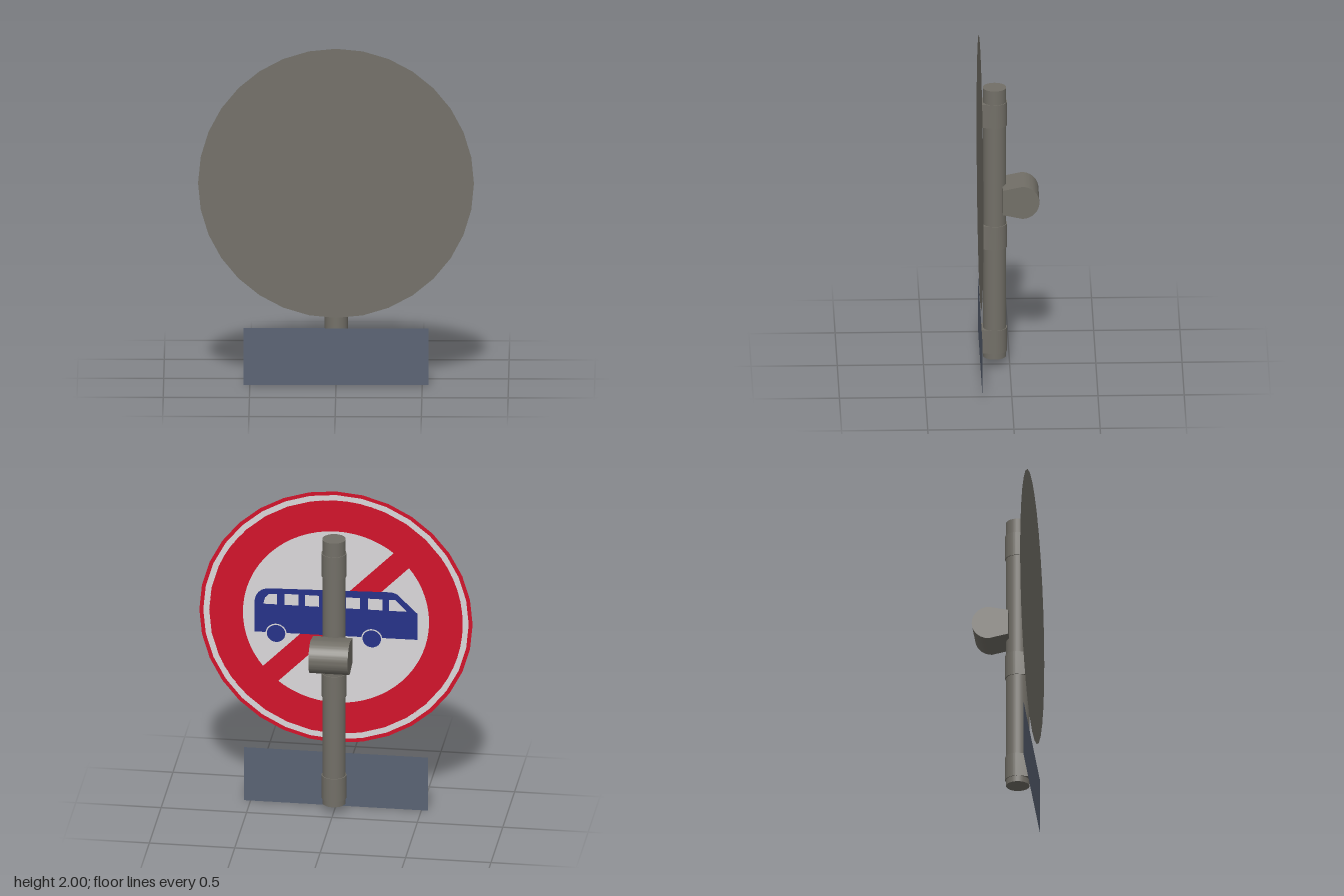
import * as THREE from 'three';
import { toCreasedNormals } from 'three/addons/utils/BufferGeometryUtils.js';

const material = (name, color, side = THREE.FrontSide) => {
  const m = new THREE.MeshStandardMaterial({ color, side });
  m.name = name;
  return m;
};

export function createModel() {
  const grey = material('metal grey', 0x726f67);
  const slate = material('slate blue', 0x596273, THREE.DoubleSide);
  const red = material('sign red', 0xd2122a);
  const white = material('sign white', 0xdad8da);
  const navy = material('bus navy', 0x263288);

  const model = new THREE.Group();
  model.name = 'roadSign';

  const add = (parent, name, geometry, mat, x = 0, y = 0, z = 0) => {
    const mesh = new THREE.Mesh(geometry, mat);
    mesh.name = name;
    mesh.position.set(x, y, z);
    parent.add(mesh);
    return mesh;
  };

  // Round-backed block tapering to a flat front, standing along y
  const bracket = (radius, frontHalf, front, length) => {
    const s = new THREE.Shape();
    s.moveTo(radius, 0);
    s.absarc(0, 0, radius, 0, Math.PI, true);
    s.lineTo(-frontHalf, front);
    s.lineTo(frontHalf, front);
    s.closePath();
    const g = new THREE.ExtrudeGeometry(s, { depth: length, bevelEnabled: false, curveSegments: 20 });
    g.translate(0, 0, -length / 2);
    g.rotateX(Math.PI / 2);
    return toCreasedNormals(g, 0.5);
  };

  // Pole, three clamps and the sideways housing behind it
  add(model, 'pole', new THREE.CylinderGeometry(0.068, 0.068, 1.68, 32), grey, 0, 0.895, 0.088);
  for (const y of [0.163, 0.813, 1.575])
    add(model, 'clamp', bracket(0.073, 0.052, 0.08, 0.145), grey, 0, y, 0.088);
  const housing = bracket(0.1, 0.076, 0.112, 0.23);
  housing.rotateZ(Math.PI / 2);
  add(model, 'housing', housing, grey, 0, 1.055, -0.07);

  // Plain faces
  add(model, 'lowerPlate', new THREE.PlaneGeometry(1.075, 0.338), slate, 0, 0.169, 0.17);
  add(model, 'discFront', new THREE.CircleGeometry(0.8, 32), grey, 0, 1.2, 0.172);

  // Painted face, turned towards -z; layers are stacked by a hair
  const face = new THREE.Group();
  face.name = 'paintedFace';
  face.position.set(0, 1.2, 0.171);
  face.rotation.y = Math.PI;
  model.add(face);
  const layer = 0.001;

  add(face, 'rim', new THREE.RingGeometry(0.777, 0.8, 32), red);
  add(face, 'whiteBand', new THREE.RingGeometry(0.742, 0.777, 32), white);
  add(face, 'redRing', new THREE.RingGeometry(0.545, 0.742, 64), red);
  add(face, 'whiteField', new THREE.CircleGeometry(0.545, 64), white);
  const slash = add(face, 'slash', new THREE.PlaneGeometry(1.12, 0.127), red, 0, 0, layer);
  slash.rotation.z = Math.PI / 4;

  // White backing shows through the bus windows
  add(face, 'windowBacking', new THREE.PlaneGeometry(0.84, 0.1), white, -0.01, 0.095, 2 * layer);

  // Bus silhouette with window holes
  const bus = new THREE.Shape();
  bus.moveTo(-0.478, -0.12);
  bus.lineTo(0.478, -0.115);
  bus.lineTo(0.478, 0.05);
  bus.lineTo(0.36, 0.165);
  bus.quadraticCurveTo(0.34, 0.178, 0.31, 0.178);
  bus.lineTo(-0.38, 0.16);
  bus.quadraticCurveTo(-0.478, 0.16, -0.478, 0.05);
  bus.closePath();
  const addWindow = (points) =>
    bus.holes.push(new THREE.Path(points.map(([x, y]) => new THREE.Vector2(x, y))));
  for (const x of [-0.26, -0.14, -0.02, 0.1, 0.23])
    addWindow([[x - 0.042, 0.06], [x - 0.042, 0.13], [x + 0.042, 0.13], [x + 0.042, 0.06]]);
  addWindow([[-0.425, 0.06], [-0.415, 0.1], [-0.39, 0.125], [-0.345, 0.125], [-0.345, 0.06]]);
  addWindow([[0.31, 0.06], [0.31, 0.13], [0.35, 0.13], [0.415, 0.06]]);
  add(face, 'bus', new THREE.ShapeGeometry(bus), navy, 0, 0, 3 * layer);

  // Wheels with thin light arches
  for (const x of [-0.35, 0.21]) {
    add(face, 'wheelArch', new THREE.RingGeometry(0.054, 0.062, 24, 1, 0, Math.PI), white, x, -0.125, 4 * layer);
    add(face, 'wheel', new THREE.CircleGeometry(0.054, 24), navy, x, -0.125, 4 * layer);
  }

  return model;
}
